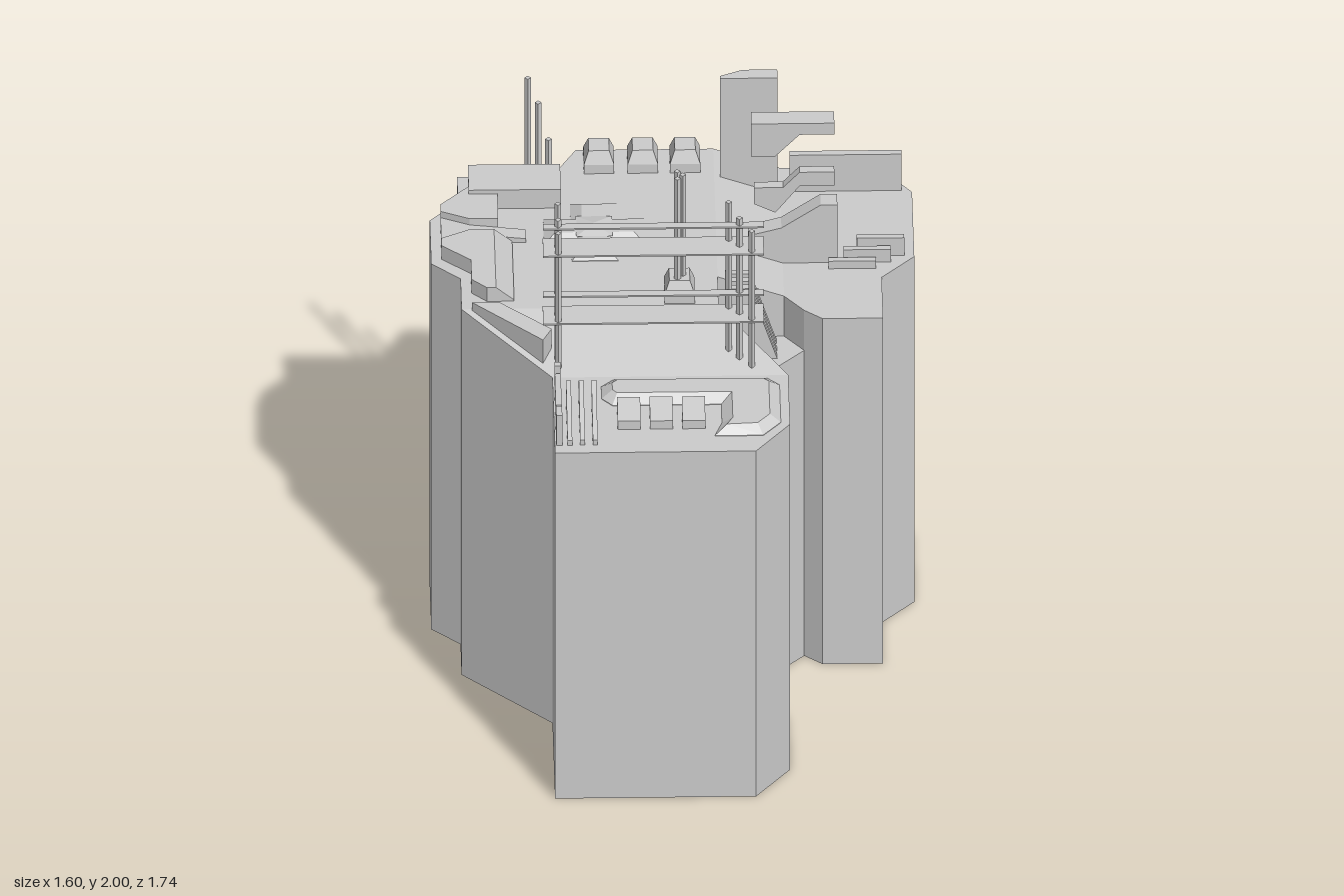
import * as THREE from 'three';

const mat = new THREE.MeshStandardMaterial({ color: 0xcccccc, side: THREE.DoubleSide, flatShading: true });
const HIGH = 1.46, LOW = 1.38, LEDGE = 1.22;
const clamp01 = t => Math.min(1, Math.max(0, t));

// Deck height: high plateau, ramping down towards the front lobe and the left side
function deckY(x, z) {
  const t = z > 0.12 ? clamp01((z - 0.13) / 0.29) : clamp01((x - 0.145) / 0.22);
  return HIGH + (LOW - HIGH) * t;
}

export function createModel() {
  const model = new THREE.Group();
  const add = (name, geo) => {
    const m = new THREE.Mesh(geo, mat);
    m.name = name;
    model.add(m);
    return m;
  };
  const planShape = pts => new THREE.Shape(pts.map(([x, z]) => new THREE.Vector2(x, -z)));
  const rect = (x0, x1, z0, z1) => [[x0, z0], [x1, z0], [x1, z1], [x0, z1]];

  // Upright prism on a plan outline; top is a height or a rule (x, z) => y
  function prism(name, pts, y0, top) {
    const g = new THREE.ExtrudeGeometry(planShape(pts), { depth: 1, bevelEnabled: false });
    g.rotateX(-Math.PI / 2);
    const p = g.attributes.position;
    for (let i = 0; i < p.count; i++) {
      const t = typeof top === 'function' ? top(p.getX(i), p.getZ(i)) : top;
      p.setY(i, p.getY(i) > 0.5 ? t : y0);
    }
    g.computeVertexNormals();
    return add(name, g);
  }

  // Low plate with sloped edges; its lower bevel sinks into the deck
  function bevelled(name, pts, y, h, b) {
    const g = new THREE.ExtrudeGeometry(planShape(pts), {
      depth: 0.002, bevelEnabled: true, bevelSegments: 1, bevelSize: b, bevelOffset: -b, bevelThickness: h,
    });
    g.rotateX(-Math.PI / 2).translate(0, y, 0);
    return add(name, g);
  }

  // Plate with a front profile, extruded from z0 to z1
  function plate(name, profile, z0, z1) {
    const s = new THREE.Shape(profile.map(([x, y]) => new THREE.Vector2(x, y)));
    const g = new THREE.ExtrudeGeometry(s, { depth: z1 - z0, bevelEnabled: false });
    return add(name, g.translate(0, 0, z0));
  }

  function box(name, x0, x1, y0, y1, z0, z1) {
    add(name, new THREE.BoxGeometry(x1 - x0, y1 - y0, z1 - z0))
      .position.set((x0 + x1) / 2, (y0 + y1) / 2, (z0 + z1) / 2);
  }

  // Flat or folded surface over a plan outline
  function deck(name, pts, rule) {
    const g = new THREE.ShapeGeometry(planShape(pts)).rotateX(-Math.PI / 2);
    const p = g.attributes.position;
    for (let i = 0; i < p.count; i++) p.setY(i, rule(p.getX(i), p.getZ(i)));
    g.computeVertexNormals();
    add(name, g);
  }

  // Wall strip; a third value in a point raises the foot of the segment that starts there
  function walls(name, pts, rule) {
    const v = [];
    for (let i = 0; i < pts.length - 1; i++) {
      const [ax, az, foot = 0] = pts[i], [bx, bz] = pts[i + 1];
      const at = rule(ax, az), bt = rule(bx, bz);
      v.push(ax, foot, az, ax, at, az, bx, bt, bz, ax, foot, az, bx, bt, bz, bx, foot, bz);
    }
    const g = new THREE.BufferGeometry();
    g.setAttribute('position', new THREE.Float32BufferAttribute(v, 3));
    g.computeVertexNormals();
    add(name, g);
  }

  // Hull, open underneath
  const L = LEDGE;
  walls('hullWalls', [
    [-0.31, -0.8], [0.145, -0.8], [0.365, -0.8], [0.69, -0.8], [0.8, -0.65], [0.8, -0.27], [0.69, -0.15],
    [0.69, 0.09], [0.49, 0.09], [0.43, 0.04, L], [0.365, -0.045, L], [0.145, -0.045, L], [0.145, 0.13, L],
    [0.235, 0.245], [0.37, 0.42], [0.37, 0.71], [0.255, 0.865], [-0.41, 0.865], [-0.41, 0.42], [-0.705, 0.13],
    [-0.705, -0.05], [-0.8, -0.14], [-0.8, -0.395], [-0.705, -0.505], [-0.705, -0.65], [-0.635, -0.65, L],
    [-0.39, -0.65, L], [-0.31, -0.8],
  ], deckY);
  deck('upperDeck', [[-0.39, -0.65], [-0.31, -0.8], [0.145, -0.8], [0.145, 0.13], [-0.705, 0.13], [-0.705, -0.05],
    [-0.8, -0.14], [-0.8, -0.395], [-0.705, -0.505], [-0.705, -0.65]], () => HIGH);
  deck('sideRamp', rect(0.145, 0.365, -0.8, -0.045), deckY);
  deck('lowerDeck', [[0.365, -0.8], [0.69, -0.8], [0.8, -0.65], [0.8, -0.27], [0.69, -0.15], [0.69, 0.09],
    [0.49, 0.09], [0.43, 0.04], [0.365, -0.045]], () => LOW);
  deck('frontRamp', [[-0.705, 0.13], [0.145, 0.13], [0.235, 0.245], [0.37, 0.42], [-0.41, 0.42]], deckY);
  deck('lobeDeck', [[-0.41, 0.42], [0.37, 0.42], [0.37, 0.71], [0.255, 0.865], [-0.41, 0.865]], () => LOW);

  // Low ledges filling the notch and the rear corner
  const ledgeY = () => LEDGE;
  walls('notchLedgeWall', [[0.43, 0.04], [0.235, 0.245]], ledgeY);
  deck('notchLedge', [[0.145, -0.045], [0.365, -0.045], [0.43, 0.04], [0.235, 0.245], [0.145, 0.13]], ledgeY);
  walls('rearSpurWall', [[-0.635, -0.65], [-0.415, -0.87], [-0.31, -0.8]], ledgeY);
  deck('rearSpurTop', [[-0.635, -0.65], [-0.415, -0.87], [-0.31, -0.8], [-0.39, -0.65]], ledgeY);

  // Aerials
  const aerial = (x, z, y0, y1) =>
    add('aerial', new THREE.CylinderGeometry(0.011, 0.011, y1 - y0, 4)).position.set(x, (y0 + y1) / 2, z);
  [[-0.47, -0.7, 1.82], [-0.435, -0.73, 1.7], [-0.4, -0.765, 1.53]].forEach(([x, z, y]) => aerial(x, z, LEDGE, y));
  [[0.01, 0.037], [0.028, 0.058], [0.01, 0.08]].forEach(([x, z]) => aerial(x, z, 1.5, 1.94));

  // Mast rack: two rows of posts carrying flat planks
  [[0.31, 2, 0.175], [0.345, 1.96, 0.21], [0.38, 1.93, 0.25]].forEach(([z, y, x]) => {
    aerial(-0.39, z, 1.38, y);
    aerial(x, z, 1.38, y);
  });
  [[1.93, 0.33, 0.36], [1.845, 0.29, 0.395], [1.66, 0.33, 0.36], [1.575, 0.29, 0.395]].forEach(([y, z0, z1]) =>
    box('rackPlank', -0.44, 0.29, y - 0.003, y + 0.003, z0, z1));

  // Tapered vents with a rim opening
  [[-0.235, -0.715], [-0.09, -0.715], [0.05, -0.715], [0.017, 0.055]].forEach(([x, z]) => {
    box('ventBase', x - 0.05, x + 0.05, HIGH - 0.03, 1.495, z - 0.055, z + 0.055);
    const g = new THREE.CylinderGeometry(0.034 * Math.SQRT2, 0.05 * Math.SQRT2, 0.045, 4, 1).rotateY(Math.PI / 4);
    g.scale(1, 1, 1.1);
    add('ventCap', g).position.set(x, 1.5175, z);
  });

  // Cross-shaped hatch with a shallow peak
  bevelled('crossHatch', [[-0.335, -0.48], [-0.18, -0.48], [-0.18, -0.39], [-0.09, -0.39], [-0.09, -0.24],
    [-0.18, -0.24], [-0.18, -0.145], [-0.335, -0.145], [-0.335, -0.24], [-0.425, -0.24], [-0.425, -0.39],
    [-0.335, -0.39]], HIGH, 0.025, 0.037);
  add('hatchPeak', new THREE.ConeGeometry(0.085, 0.015, 4).rotateY(Math.PI / 4)).position.set(-0.258, 1.494, -0.312);

  // Raised blocks along the right edge of the upper deck
  box('rearCabin', -0.67, -0.365, 1.45, 1.535, -0.61, -0.46);
  prism('edgeBlock', [[-0.765, -0.4], [-0.67, -0.505], [-0.575, -0.505], [-0.575, -0.315], [-0.67, -0.315],
    [-0.765, -0.36]], 1.45, 1.52);
  prism('edgeArm', [[-0.765, -0.36], [-0.67, -0.315], [-0.485, -0.315], [-0.485, -0.26], [-0.67, -0.26],
    [-0.765, -0.21]], 1.45, x => (x > -0.5 ? 1.475 : 1.495));
  const edgeTop = x => 1.515 - 0.05 * clamp01((x + 0.59) / 0.06);
  prism('edgeStep', [[-0.765, -0.21], [-0.67, -0.26], [-0.59, -0.26], [-0.59, 0.085], [-0.62, 0.085],
    [-0.67, 0.035], [-0.67, -0.08], [-0.765, -0.165]], 1.45, 1.515);
  prism('edgeStepSlope', rect(-0.59, -0.53, -0.26, 0.085), 1.45, edgeTop);
  prism('diagonalParapet', [[-0.67, 0.135], [-0.58, 0.135], [-0.41, 0.295], [-0.44, 0.36]], 1.39, 1.49);

  // Rear slab and rear sloped housing
  prism('tallSlab', [[0.165, -0.645], [0.165, -0.66], [0.24, -0.695], [0.355, -0.695], [0.355, -0.645]], 1.37, 1.845);
  const housingTop = (x, z) => 1.525 - 0.065 * clamp01((-0.685 - z) / 0.08);
  prism('rearHousingFront', rect(0.395, 0.765, -0.685, -0.66), 1.37, 1.525);
  prism('rearHousingSlope', [[0.395, -0.685], [0.48, -0.765], [0.705, -0.765], [0.765, -0.685]], 1.37, housingTop);

  // Stacked cranked brackets
  plate('upperBracket', [[0.26, 1.94], [0.535, 1.94], [0.535, 1.895], [0.42, 1.895], [0.34, 1.81], [0.26, 1.81]],
    -0.305, -0.235);
  plate('middleBracket', [[0.535, 1.745], [0.42, 1.745], [0.365, 1.685], [0.27, 1.685], [0.27, 1.62], [0.34, 1.585],
    [0.42, 1.69], [0.535, 1.69]], -0.27, -0.235);
  plate('bracketFoot', [[0.25, 1.38], [0.25, 1.49], [0.36, 1.52], [0.49, 1.61], [0.545, 1.61], [0.545, 1.37]],
    -0.305, -0.24);

  // Low bars on the lower deck
  [[0.61, 1.45, -0.3], [0.565, 1.43, -0.262], [0.515, 1.41, -0.225]].forEach(([x, y, z]) =>
    box('deckBar', x, x + 0.157, 1.37, y, z, z + 0.022));

  // Fins standing in the notch
  for (const z of [-0.025, 0.018, 0.062])
    plate('notchFin', [[0.17, LEDGE], [0.17, 1.5], [0.25, 1.5], [0.34, LEDGE]], z, z + 0.024);

  // Front lobe: raised angle plate, wedge hatches, fins and edge blocks
  bevelled('anglePlate', [[-0.25, 0.48], [-0.21, 0.44], [0.3, 0.44], [0.34, 0.48], [0.34, 0.7], [0.28, 0.775],
    [0.12, 0.775], [0.145, 0.7], [0.145, 0.59], [-0.215, 0.59], [-0.25, 0.55]], LOW, 0.026, 0.036);
  for (const x of [-0.2, -0.093, 0.014])
    prism('wedgeHatch', rect(x, x + 0.076, 0.62, 0.73), 1.37, (px, z) => 1.435 - 0.2 * (z - 0.62));
  for (const x of [-0.368, -0.326, -0.284])
    prism('lobeFin', rect(x, x + 0.016, 0.57, 0.82), 1.37, (px, z) => 1.47 - 0.28 * (z - 0.57));
  for (const [z0, z1, y] of [[0.505, 0.53, 1.5], [0.545, 0.73, 1.48], [0.765, 0.82, 1.5]])
    box('lobeEdgeBlock', -0.405, -0.385, 1.37, y, z0, z1);

  return model;
}
